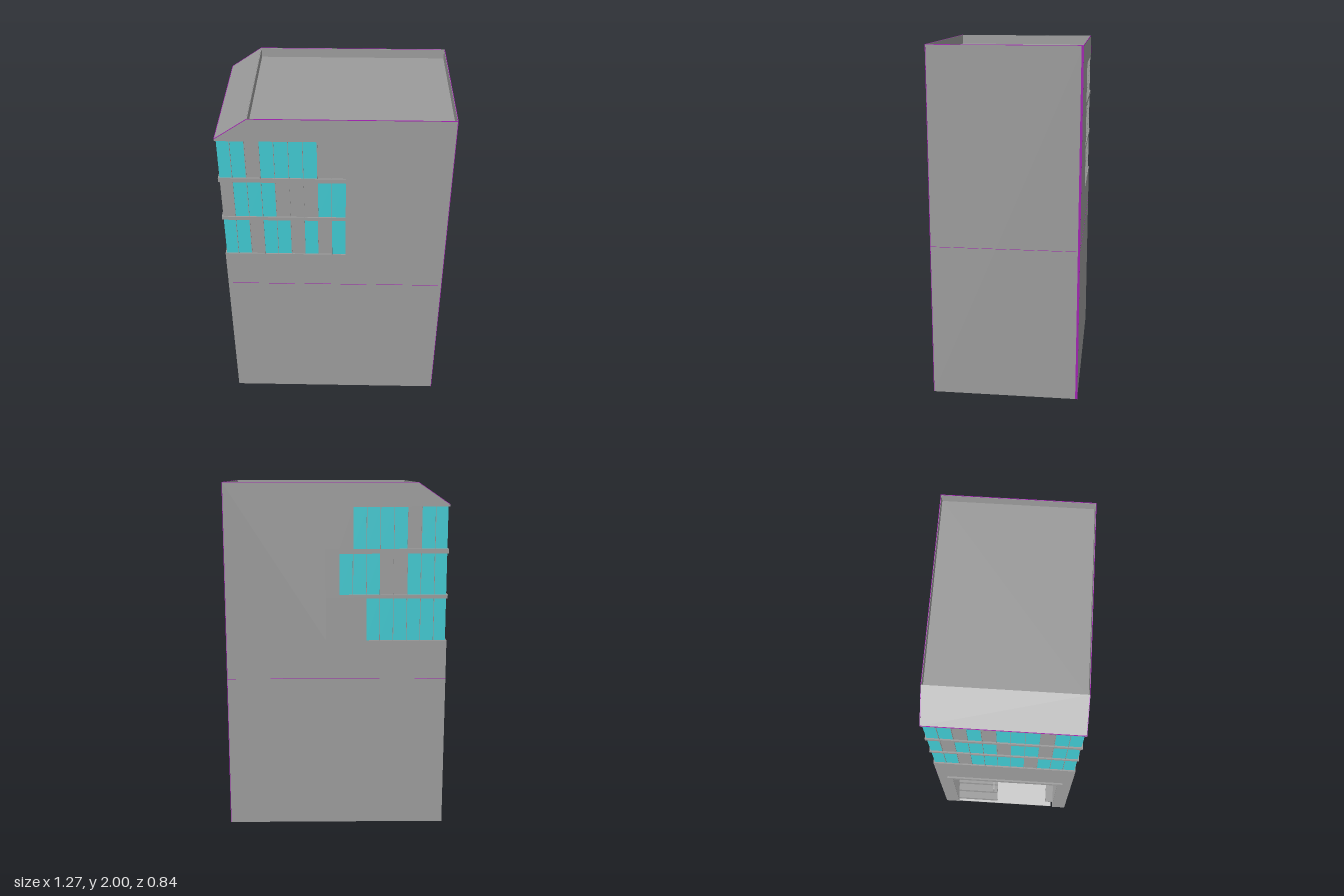
import * as THREE from 'three';

const X0 = -0.627, X1 = 0.635, Z = 0.418, T = 0.003;
const paint = color => new THREE.MeshStandardMaterial({ color, side: THREE.DoubleSide });
const grey = paint(0x9b9b9b), pale = paint(0xcccccc), teal = paint(0x40c8d0), purple = paint(0xa020b0);

export function createModel() {
  const root = new THREE.Group();
  root.name = 'building';

  const add = (name, geo, mat = grey, parent = root) => {
    const m = new THREE.Mesh(geo, mat);
    m.name = name;
    parent.add(m);
    return m;
  };
  // Box given by its limits on each axis
  const box = (name, x0, x1, y0, y1, z0, z1, mat, parent) =>
    add(name, new THREE.BoxGeometry(x1 - x0, y1 - y0, z1 - z0), mat, parent)
      .position.set((x0 + x1) / 2, (y0 + y1) / 2, (z0 + z1) / 2);
  const shapeOf = pts => new THREE.Shape(pts.map(p => new THREE.Vector2(...p)));
  const extrude = (shape, depth) => new THREE.ExtrudeGeometry(shape, { depth, bevelEnabled: false });

  // Long side walls: sloped top corner and a notch for the corner glazing
  const sideWall = shapeOf([[X0, 0], [X1, 0], [X1, 2], [-0.45, 2], [X0, 1.88],
    [X0, 1.867], [0.065, 1.867], [0.065, 1.11], [X0, 1.11]]);
  add('frontWall', extrude(sideWall, T)).position.z = Z - T;
  add('backWall', extrude(sideWall, T)).position.z = -Z;
  box('leftEndWall', X1 - T, X1, 0, 2, -Z, Z);

  // Entrance wall with a tall opening
  const entrance = shapeOf([[-Z, 0], [-0.33, 0], [-0.33, 0.7], [0.33, 0.7], [0.33, 0],
    [Z, 0], [Z, 1.11], [-Z, 1.11]]);
  const entranceWall = add('entranceWall', extrude(entrance, T));
  entranceWall.rotation.y = -Math.PI / 2;
  entranceWall.position.x = X0 + T;
  box('entranceBar', -0.637, X0, 0.76, 0.78, -0.36, 0.36);

  // Sunken roof deck, parapet and sloped eave
  box('roofDeck', -0.45, X1 - T, 1.935, 1.945, -Z + T, Z - T);
  box('slopeParapet', -0.45, -0.447, 1.945, 1.998, -Z + T, Z - T);
  const eave = shapeOf([[X0, 1.867], [X0, 1.88], [-0.45, 2], [-0.45, 1.985], [-0.615, 1.867]]);
  add('slopedRoof', extrude(eave, 2 * Z)).position.z = -Z;

  // Purple edge trim, laid from point to point
  const trim = (a, b, size = 0.003) => {
    const p = new THREE.Vector3(...a), q = new THREE.Vector3(...b);
    const m = add('edgeTrim', new THREE.BoxGeometry(size, size, p.distanceTo(q)), purple);
    m.position.copy(p).lerp(q, 0.5);
    m.lookAt(q);
  };
  for (const z of [-Z, Z]) {
    trim([-0.45, 2, z], [X1, 2, z]);
    trim([X0, 1.88, z], [-0.45, 2, z]);
    trim([X1, 0, z], [X1, 2, z]);
    trim([X0, 0.885, z], [X1, 0.885, z], 0.002);
  }
  trim([X1, 2, -Z], [X1, 2, Z]);
  trim([X0, 1.88, -Z], [X0, 1.88, Z]);
  trim([X1, 0.885, -Z], [X1, 0.885, Z], 0.002);
  box('cornerStrip', X1, X1 + 0.001, 0, 2, -Z, -Z + 0.011, purple);

  // Ledges around the glazed corner
  for (const [y0, y1] of [[1.1, 1.11], [1.353, 1.374], [1.607, 1.634]])
    box('windowLedge', X0, 0.065, y0, y1, -Z, Z);

  // Glazing: T = teal pane, G = grey pane, rows from bottom to top, read along +x or +z
  const glazing = new THREE.Group();
  glazing.name = 'glazing';
  root.add(glazing);
  const rows = [[1.11, 1.353], [1.374, 1.607], [1.634, 1.867]];
  const patterns = {
    front: ['TTGTTGTGT', 'GTTTGGGTT', 'TTGTTTTGG'],
    back: ['TTTTTTGGG', 'TTTGGTTTG', 'TTGTTTTGG'],
    entrance: ['TTGTTTTGTTT', 'TGTTTGTTGTT', 'TTGTGTTTGTT'],
  };
  const r = 0.008; // pane recess
  for (const side in patterns) {
    const onEnd = side === 'entrance';
    const a0 = onEnd ? -Z : X0, a1 = onEnd ? Z : 0.065;
    const s = side === 'back' ? -1 : 1;
    patterns[side].forEach((row, j) => {
      const [y0, y1] = rows[j], w = (a1 - a0) / row.length;
      // Place a piece from a to b along the facade, between two depths
      const piece = (name, a, b, d0, d1, mat) => onEnd
        ? box(name, X0 + d0, X0 + d1, y0, y1, a, b, mat, glazing)
        : box(name, a, b, y0, y1, Math.min(s * (Z - d0), s * (Z - d1)),
          Math.max(s * (Z - d0), s * (Z - d1)), mat, glazing);
      [...row].forEach((c, i) => {
        const a = a0 + i * w;
        const from = Math.max(a, a0 + r), to = onEnd ? Math.min(a + w, a1 - r) : a + w;
        piece(c === 'T' ? 'glassPane' : 'blankPane', from, to, r, r + 0.006, c === 'T' ? teal : grey);
        if (i) piece('mullion', a - 0.0015, a + 0.0015, r - 0.005, r);
      });
    });
  }

  // Entrance hall inside the hollow shell
  const inner = X0 + T, end = 0.165;
  box('hallSlab', inner, end, 0, 0.006, -0.335, 0.32);
  box('hallFloor', inner, end, 0.006, 0.01, -0.335, 0.32, pale);
  box('hallCeiling', inner, end, 0.7, 0.705, -0.335, 0.335, pale);
  box('hallEndWall', end - 0.005, end, 0.01, 0.7, -0.335, 0.335, pale);
  for (const s of [-1, 1])
    box('hallSideWall', inner, end, 0.01, 0.7, s * 0.3325 - 0.0025, s * 0.3325 + 0.0025, pale);
  box('hallBench', -0.6, 0.1, 0.035, 0.055, 0.28, 0.33);

  // Staircase with a sloping rail
  const steps = 14, run = 0.045;
  for (let i = 0; i < steps; i++)
    box('stairStep', -0.61 + i * run, -0.61 + (i + 1) * run, 0.01 + i * run * 0.95,
      0.01 + (i + 1) * run * 0.95, -0.33, -0.06);
  const rail = shapeOf([[-0.56, 0.14], [0.04, 0.68], [0.04, 0.695], [-0.56, 0.155]]);
  add('stairRail', extrude(rail, 0.008)).position.z = -0.09;
  box('railPost', -0.562, -0.552, 0.05, 0.155, -0.09, -0.082);

  return root;
}
